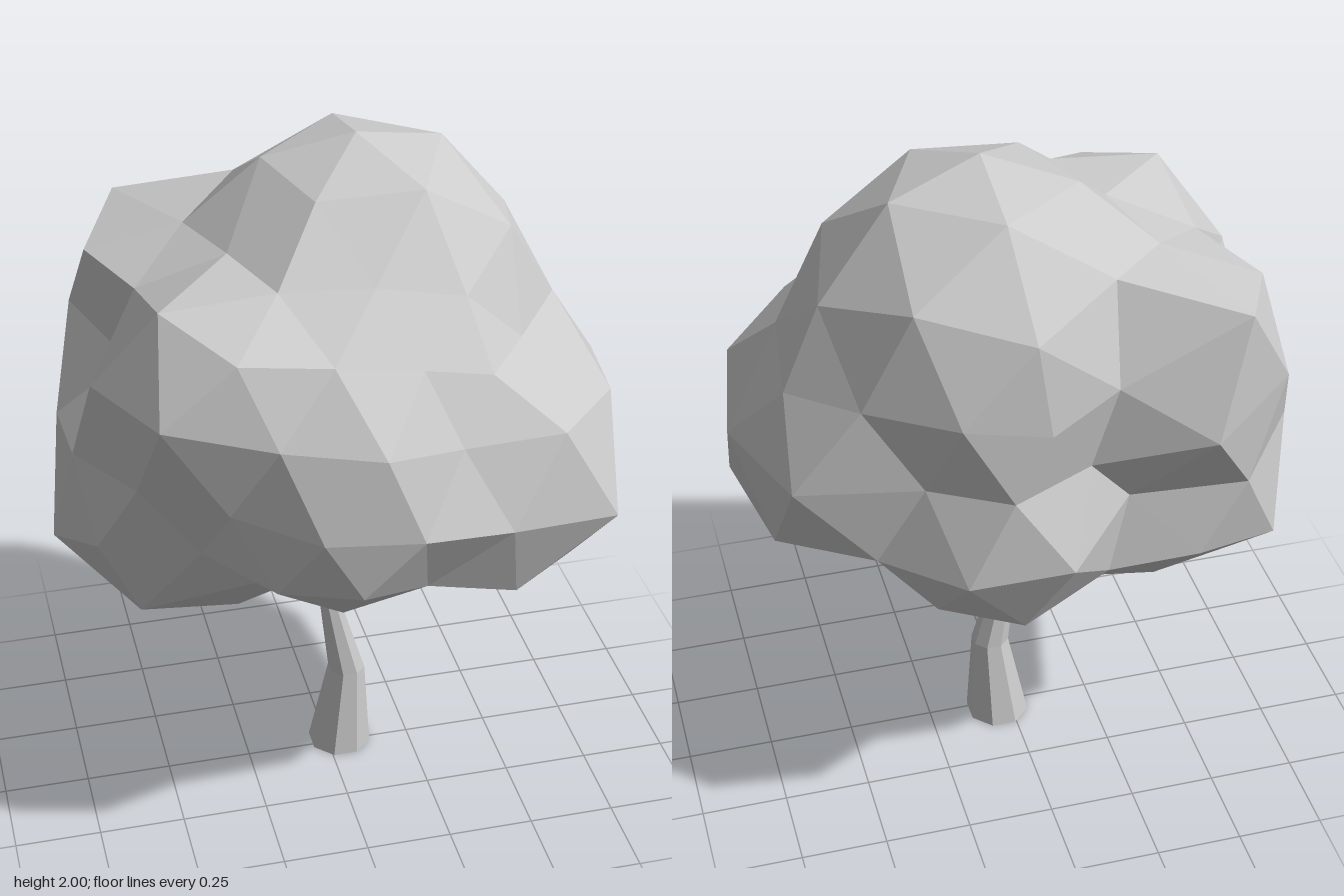
import * as THREE from 'three';

const material = new THREE.MeshStandardMaterial({ color: 0xcccccc, flatShading: true, side: THREE.DoubleSide });
const UP = new THREE.Vector3(0, 1, 0);

// Faceted limb lofted through points [x, y, z, radius]; level keeps the rings horizontal
function limb(name, path, sides, level) {
  const pts = path.map(p => new THREE.Vector3(p[0], p[1], p[2]));
  const last = pts.length - 1;
  const pos = [], index = [];
  pts.forEach((p, i) => {
    const dir = pts[Math.min(i + 1, last)].clone().sub(pts[Math.max(i - 1, 0)]).normalize();
    const turn = new THREE.Quaternion().setFromUnitVectors(UP, level ? UP : dir);
    for (let k = 0; k < sides; k++) {
      const a = ((k + 0.5) / sides) * Math.PI * 2;
      const v = new THREE.Vector3(Math.sin(a), 0, Math.cos(a)).multiplyScalar(path[i][3]);
      v.applyQuaternion(turn).add(p);
      pos.push(v.x, v.y, v.z);
      if (i < last) {
        const n = (k + 1) % sides, r = i * sides;
        index.push(r + k, r + n, r + sides + n, r + k, r + sides + n, r + sides + k);
      }
    }
  });
  // Tip cap; the foot stays open
  for (let k = 1; k < sides - 1; k++) {
    const t = last * sides;
    index.push(t, t + k, t + k + 1);
  }
  const geo = new THREE.BufferGeometry();
  geo.setAttribute('position', new THREE.Float32BufferAttribute(pos, 3));
  geo.setIndex(index);
  const flat = geo.toNonIndexed();
  flat.computeVertexNormals();
  const mesh = new THREE.Mesh(flat, material);
  mesh.name = name;
  return mesh;
}

// Leaf masses that swell the canopy: [x, y, z, radius]
const lobes = [
  [0, 1.2, -0.02, 0.42],        // core
  [0.12, 1.51, -0.13, 0.49],    // crown
  [-0.39, 1.49, -0.38, 0.29],   // upper back right
  [-0.33, 1.42, 0.18, 0.36],    // upper front right
  [-0.41, 0.99, -0.07, 0.4],    // low right
  [-0.48, 0.99, -0.24, 0.3],    // low back right
  [-0.03, 1.18, 0.27, 0.4],     // front
  [-0.03, 1.3, 0.32, 0.34],     // upper front
  [0.45, 1.09, 0.2, 0.37],      // front left
  [0.2, 1.3, 0.15, 0.36],       // front left slope
  [0.46, 1.18, -0.13, 0.36],    // back left
  [0.1, 1.05, -0.33, 0.35],     // back
  [0.35, 1.35, -0.05, 0.34]     // left shoulder
];

// Farthest point where a ray from the canopy centre leaves a lobe
function reach(origin, dir) {
  let best = 0.3;
  for (const [x, y, z, r] of lobes) {
    const c = new THREE.Vector3(x, y, z).sub(origin);
    const along = c.dot(dir);
    const d = r * r - c.lengthSq() + along * along;
    if (d > 0) best = Math.max(best, along + Math.sqrt(d));
  }
  return best;
}

function canopy() {
  const geo = new THREE.IcosahedronGeometry(1, 2);
  // Turn one corner upright, then lean it toward the crown
  geo.rotateZ(-0.553);
  geo.rotateY(0.3);
  geo.rotateZ(-0.13);
  geo.rotateX(-0.1);
  const centre = new THREE.Vector3(0, 1.22, -0.02);
  const p = geo.attributes.position;
  const v = new THREE.Vector3();
  const round = n => Math.round(n * 1e4) / 1e4;
  for (let i = 0; i < p.count; i++) {
    v.fromBufferAttribute(p, i);
    v.set(round(v.x), round(v.y), round(v.z)).normalize();
    v.multiplyScalar(reach(centre, v)).add(centre);
    p.setXYZ(i, v.x, v.y, v.z);
  }
  geo.computeVertexNormals();
  const mesh = new THREE.Mesh(geo, material);
  mesh.name = 'canopy';
  return mesh;
}

export function createModel() {
  const tree = new THREE.Group();
  tree.name = 'tree';
  tree.add(canopy());

  // Bent, tapering trunk
  tree.add(limb('trunk', [
    [0.04, 0, -0.02, 0.095], [0.06, 0.28, -0.013, 0.056],
    [0.005, 0.55, -0.01, 0.03], [0, 0.61, -0.01, 0.04], [0, 0.64, -0.01, 0.024]
  ], 8, true));

  // Three elbowed branches spreading from the fork
  const branches = new THREE.Group();
  branches.name = 'branches';
  for (const [name, dx, dz] of [['leftBranch', 1, 0], ['frontBranch', 0, 1], ['backRightBranch', -0.84, -0.54]]) {
    branches.add(limb(name, [
      [0, 0.6, -0.01, 0.026],
      [dx * 0.25, 0.735, dz * 0.24 - 0.01, 0.02],
      [dx * 0.285, 0.87, dz * 0.27 - 0.01, 0.016]
    ], 6, false));
  }
  tree.add(branches);
  return tree;
}
